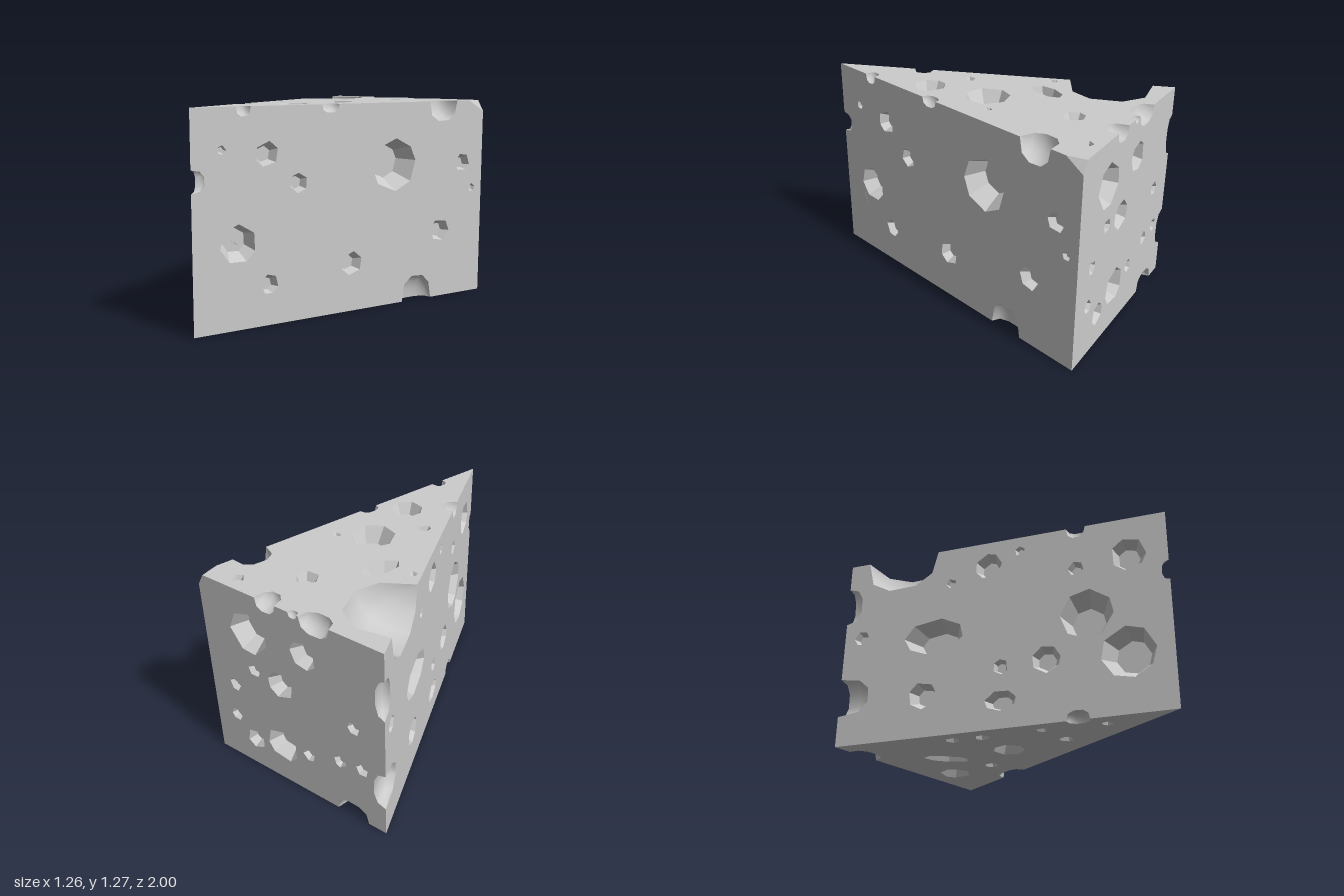
import * as THREE from 'three';

const V = (x, y, z) => new THREE.Vector3(x, y, z);
const H = 1.27;

// Wedge corners: tip, back +x, back -x, then the same three on top
const base = [V(0.08, 0, 1), V(0.63, 0, -1), V(-0.63, 0, -1)];
const C = [...base, ...base.map((p) => p.clone().setY(H))];

let seed = 7;
const rand = () => (seed = (seed * 16807) % 2147483647) / 2147483647;
const lift = (a, b, d) => a.clone().addScaledVector(b, d);

// A flat face: outline corners, the axes that give a pit's position, u axis
function makeFace(name, loop, axes, uAxis) {
  const [a, b, c] = loop.map((i) => C[i]);
  const n = b.clone().sub(a).cross(c.clone().sub(a)).normalize();
  const u = uAxis || b.clone().sub(a).normalize();
  const v = n.clone().cross(u);
  const flat = (p) => new THREE.Vector2(p.clone().sub(a).dot(u), p.clone().sub(a).dot(v));
  const solid = (p, depth = 0) => lift(lift(lift(a, u, p.x), v, p.y), n, -depth);
  return { name, loop, axes, n, u, v, o: a, flat, solid, rims: [] };
}
const right = makeFace('rightFace', [0, 1, 4, 3], 'zy');
const back = makeFace('backFace', [1, 2, 5, 4], 'xy');
const left = makeFace('leftFace', [2, 0, 3, 5], 'xy');
const top = makeFace('topFace', [3, 4, 5], 'xz', V(1, 0, 0));
const bottom = makeFace('bottomFace', [2, 1, 0], 'xz', V(1, 0, 0));
const faces = [right, back, left, top, bottom];

// Uneven polygon rim of a pit, in face coordinates
function addPit(f, a, b, ru, rv = ru, rot = 0) {
  const p = f.o.clone();
  p[f.axes[0]] = a;
  p[f.axes[1]] = b;
  if (f.axes !== 'xz') { // slide along the upright side
    const k = f.axes[0], t = (a - f.o[k]) / f.u[k];
    p.x = f.o.x + f.u.x * t;
    p.z = f.o.z + f.u.z * t;
  }
  const c = f.flat(p), r = Math.max(ru, rv), start = rand() * 6;
  const n = r > 0.14 ? 8 : r > 0.075 ? 7 : r > 0.04 ? 6 : 5;
  const pts = Array.from({ length: n }, (_, k) => {
    const t = start + ((k + (rand() - 0.5) * 0.4) / n) * Math.PI * 2;
    return new THREE.Vector2(Math.cos(t) * ru, Math.sin(t) * rv).rotateAround(new THREE.Vector2(), rot).add(c);
  });
  f.rims.push({ c, pts, depth: (ru + rv) * 0.36 });
}

// Scatter round pits of one radius
const addPits = (f, r, ...spots) => spots.forEach(([a, b]) => addPit(f, a, b, r));

function placePits() {
  faces.forEach((f) => { f.rims = []; });
  addPits(right, 0.165, [-0.31, 0.885]);
  addPits(right, 0.115, [0.73, 0.5]);
  addPits(right, 0.075, [0.55, 1], [-0.01, 0.3], [-0.67, 0.44]);
  addPits(right, 0.06, [0.35, 0.82], [-0.84, 0.87], [0.54, 0.245]);
  addPits(right, 0.028, [0.82, 1.035], [-0.92, 0.7]);

  addPits(back, 0.135, [0.29, 1]);
  addPits(back, 0.115, [0.11, 0.27]);
  addPits(back, 0.09, [-0.1, 1.02], [0.085, 0.73]);
  addPits(back, 0.07, [0.33, 0.2]);
  addPits(back, 0.043, [0.276, 0.75], [0.446, 0.57], [0.467, 0.33], [-0.09, 0.3], [-0.32, 0.38], [-0.474, 0.4], [-0.425, 0.68]);

  addPit(left, -0.42, 0.66, 0.2, 0.12);
  addPits(left, 0.165, [-0.09, 0.66], [-0.01, 0.38]);
  addPits(left, 0.11, [0, 1.02]);
  addPits(left, 0.09, [-0.3, 1.1], [-0.44, 0.27], [-0.175, 0.4]);
  addPit(left, -0.27, 0.175, 0.1, 0.065);
  addPits(left, 0.05, [-0.11, 0.98], [-0.27, 0.39], [-0.59, 0.72]);
  addPits(left, 0.035, [-0.23, 1.17], [-0.385, 1.02]);

  addPit(top, -0.16, -0.38, 0.125, 0.06, 1.2);
  addPits(top, 0.135, [0.09, -0.12]);
  addPits(top, 0.1, [0.12, 0.27]);
  addPits(top, 0.068, [0.11, -0.69]);
  addPits(top, 0.038, [-0.11, 0.13], [0.41, -0.91]);
  addPits(top, 0.026, [-0.34, -0.33], [0.27, -0.23]);

  addPit(bottom, -0.03, -0.62, 0.15, 0.06, 0.71);
  addPits(bottom, 0.1, [0.245, -0.8], [0.07, -0.19]);
  addPits(bottom, 0.045, [0.25, -0.485], [-0.21, -0.17], [-0.28, -0.344], [0.12, 0.21]);
  addPits(bottom, 0.035, [-0.1, 0.19], [0.04, 0.556]);
}

const hasEdge = (f, i, j) => f.loop.some((c, k) => c === i && f.loop[(k + 1) % f.loop.length] === j);

// Bite across the edge i-j: place on one axis, half width, depth into each face.
// Rows of points sweep from the cut line on one face to that on the other.
function makeBite(i, j, axis, at, w, dA, dB = dA) {
  const e = C[j].clone().sub(C[i]).normalize();
  const mid = C[i].clone().lerp(C[j], (at - C[i][axis]) / (C[j][axis] - C[i][axis]));
  const inA = faces.find((f) => hasEdge(f, i, j)).n.clone().cross(e);
  const inB = faces.find((f) => hasEdge(f, j, i)).n.clone().cross(e).negate();
  const steps = [[-1, 0], [-0.85, 0.7], [-0.35, 1], [0.4, 0.97], [0.85, 0.65], [1, 0]];
  const rows = [0, 1, 2, 3, 4].map((r) => {
    const a = dA * Math.cos((r * Math.PI) / 8), b = dB * Math.sin((r * Math.PI) / 8);
    return steps.map(([s, d]) => lift(lift(lift(mid, e, s * w), inA, d * a), inB, d * b));
  });
  return { i, j, mid, rows };
}

const makeBites = () => [
  makeBite(5, 3, 'z', -0.64, 0.25, 0.31, 0.23),
  makeBite(5, 3, 'z', 0.47, 0.06, 0.07),
  makeBite(3, 4, 'z', -0.68, 0.11, 0.125),
  makeBite(3, 4, 'z', 0.14, 0.06, 0.05),
  makeBite(3, 4, 'z', 0.69, 0.045, 0.055),
  makeBite(4, 5, 'x', -0.19, 0.1, 0.085),
  makeBite(4, 5, 'x', -0.05, 0.03, 0.03),
  makeBite(4, 5, 'x', 0.14, 0.07, 0.1, 0.07),
  makeBite(0, 1, 'z', -0.495, 0.115, 0.16, 0.07),
  makeBite(2, 0, 'z', 0.456, 0.07, 0.06),
  makeBite(1, 2, 'x', -0.4, 0.11, 0.095),
  makeBite(2, 5, 'y', 0.965, 0.13, 0.06, 0.1),
  makeBite(2, 5, 'y', 0.32, 0.125, 0.08, 0.2),
  makeBite(0, 3, 'y', 0.87, 0.065, 0.045, 0.08),
];

// The chipped corner: distance cut towards each neighbouring corner
const chipped = 4;
const cuts = { 3: 0.12, 5: 0.04, 1: 0.07 };
const chipPoint = (to) => lift(C[chipped], C[to].clone().sub(C[chipped]).normalize(), cuts[to]);

// Outline of a face including its bites and the chipped corner
function outline(f, bites) {
  const pts = [], N = f.loop.length;
  f.loop.forEach((c, k) => {
    const next = f.loop[(k + 1) % N], prev = f.loop[(k + N - 1) % N];
    if (c === chipped) pts.push(chipPoint(prev), chipPoint(next));
    else pts.push(C[c]);
    bites.filter((b) => (b.i === c && b.j === next) || (b.j === c && b.i === next))
      .sort((a, b) => a.mid.distanceTo(C[c]) - b.mid.distanceTo(C[c]))
      .forEach((b) => pts.push(...(b.i === c ? b.rows[0] : [...b.rows[4]].reverse())));
  });
  return pts.map(f.flat);
}

function geometry(points, index) {
  const g = new THREE.BufferGeometry().setFromPoints(points);
  g.setIndex(index);
  g.computeVertexNormals();
  return g;
}

// Faceted pit below a rim: sloping walls and a smaller floor
function pitGeometry(f, { c, pts, depth }) {
  const n = pts.length, shift = new THREE.Vector2(rand() - 0.5, rand() - 0.5).multiplyScalar(depth * 0.25);
  const floor = pts.map((p) => f.solid(p.clone().sub(c).multiplyScalar(0.64).add(c).add(shift), depth));
  const index = [];
  for (let k = 0; k < n; k++) {
    const m = (k + 1) % n;
    index.push(k, m, n + m, k, n + m, n + k);
    if (k > 1) index.push(n, n + k - 1, n + k);
  }
  return geometry([...pts.map((p) => f.solid(p)), ...floor], index);
}

// Rounded hollow spanned by the rows of a bite
function biteGeometry({ rows }) {
  const n = rows[0].length, index = [];
  for (let r = 0; r < rows.length - 1; r++)
    for (let k = 0; k < n - 1; k++) {
      const a = r * n + k, b = a + n;
      index.push(a, b, b + 1, a, b + 1, a + 1);
    }
  return geometry(rows.flat(), index);
}

export function createModel() {
  const group = new THREE.Group();
  group.name = 'cheeseWedge';
  const faceted = new THREE.MeshStandardMaterial({ color: 0xcccccc, flatShading: true });
  const smooth = new THREE.MeshStandardMaterial({ color: 0xcccccc });
  const add = (name, geo, mat) => {
    const mesh = new THREE.Mesh(geo, mat);
    mesh.name = name;
    group.add(mesh);
  };

  placePits();
  const bites = makeBites();
  faces.forEach((f) => {
    const shape = new THREE.Shape(outline(f, bites));
    shape.holes = f.rims.map((r) => new THREE.Path(r.pts));
    const frame = new THREE.Matrix4().makeBasis(f.u, f.v, f.n).setPosition(f.o);
    add(f.name, new THREE.ShapeGeometry(shape).applyMatrix4(frame), faceted);
    f.rims.forEach((r) => add(f.name + 'Pit', pitGeometry(f, r), faceted));
  });
  bites.forEach((b) => add('edgeBite', biteGeometry(b), smooth));
  add('cornerChip', geometry([chipPoint(3), chipPoint(1), chipPoint(5)], [0, 1, 2]), faceted);
  return group;
}
